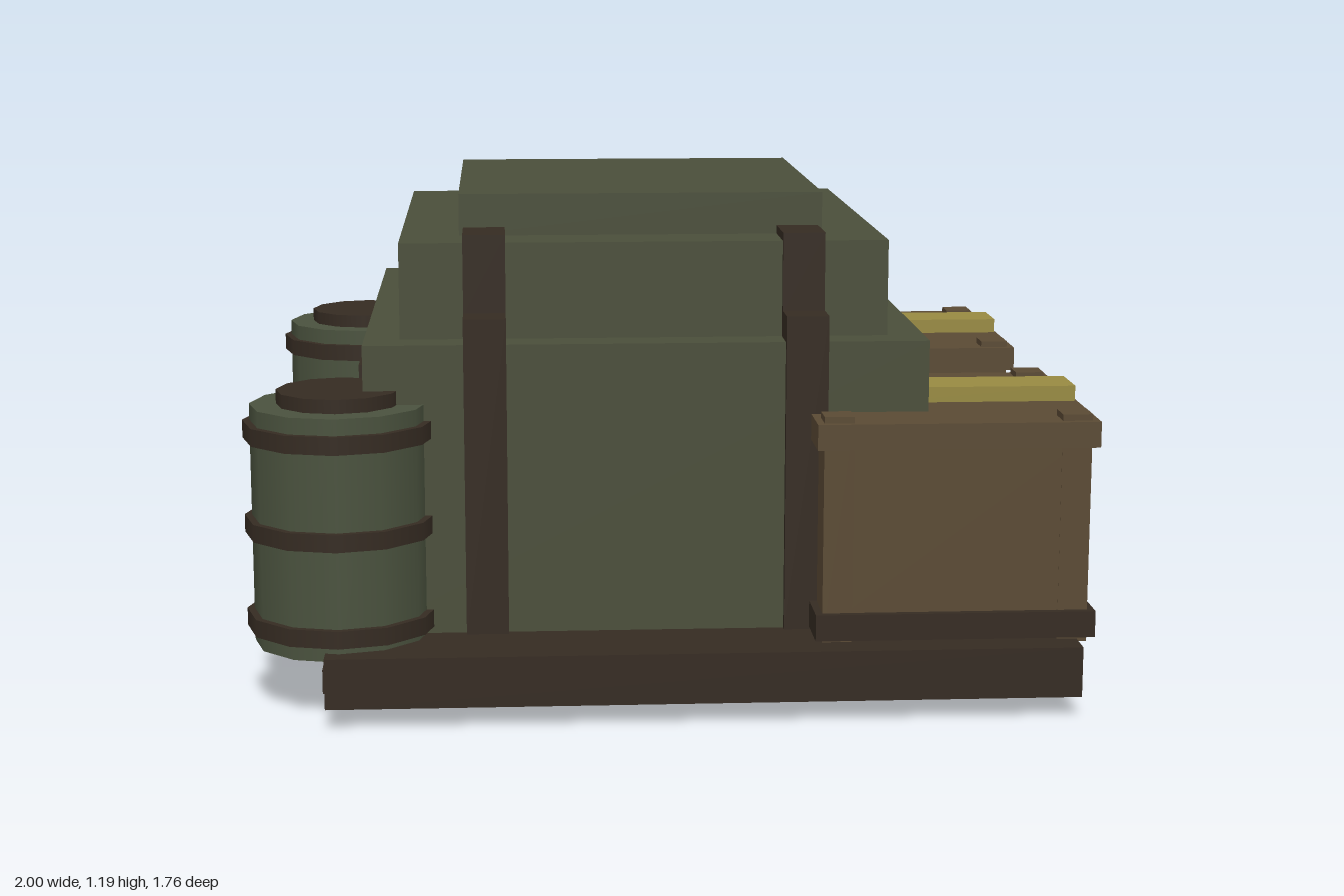
import * as THREE from 'three';

const material = (name, color) => {
  const m = new THREE.MeshStandardMaterial({ color });
  m.name = name;
  return m;
};

export function createModel() {
  const canvas = material('olive canvas', 0x4a4e3a);
  const steel = material('green steel', 0x4a523e);
  const darkWood = material('dark brown', 0x352b22);
  const crateWood = material('crate brown', 0x5a4a34);
  const brass = material('dull yellow', 0x988a42);

  const model = new THREE.Group();
  model.name = 'cargoPallet';

  // Box given by its extents on each axis
  const box = (parent, name, mat, [x0, x1], [y0, y1], [z0, z1]) => {
    const mesh = new THREE.Mesh(new THREE.BoxGeometry(x1 - x0, y1 - y0, z1 - z0), mat);
    mesh.position.set((x0 + x1) / 2, (y0 + y1) / 2, (z0 + z1) / 2);
    mesh.name = name;
    parent.add(mesh);
  };
  const cylinder = (parent, name, mat, r, y0, y1) => {
    const mesh = new THREE.Mesh(new THREE.CylinderGeometry(r, r, y1 - y0, 12), mat);
    mesh.position.y = (y0 + y1) / 2;
    mesh.name = name;
    parent.add(mesh);
  };

  // Pallet deck on two skids
  box(model, 'palletDeck', darkWood, [-0.805, 0.955], [0.05, 0.17], [-0.878, 0.878]);
  for (const z of [-0.503, 0.503])
    box(model, 'palletSkid', darkWood, [-0.83, 0.98], [0, 0.06], [z - 0.088, z + 0.088]);

  // Covered load in three steps
  box(model, 'loadLower', canvas, [-0.715, 0.615], [0.17, 0.862], [-0.667, 0.667]);
  box(model, 'loadMiddle', canvas, [-0.63, 0.527], [0.86, 1.09], [-0.58, 0.58]);
  box(model, 'loadTop', canvas, [-0.49, 0.385], [1.09, 1.19], [-0.44, 0.44]);

  // Straps over the steps
  for (const x of [-0.43, 0.325]) {
    box(model, 'strapLower', darkWood, [x - 0.05, x + 0.05], [0.17, 0.925], [-0.685, 0.685]);
    box(model, 'strapUpper', darkWood, [x - 0.05, x + 0.05], [0.92, 1.11], [-0.592, 0.592]);
  }

  // Side buckles
  for (const z of [-0.315, 0.315])
    for (const x of [-0.72, 0.61])
      box(model, 'buckle', darkWood, [x - 0.02, x + 0.02], [0.65, 0.765], [z - 0.049, z + 0.049]);

  // Crates with corner posts, base band, lid and a yellow lid strip
  for (const z of [-0.546, 0.488]) {
    const crate = new THREE.Group();
    crate.name = 'crate';
    crate.position.set(0.665, 0, z);
    box(crate, 'crateBody', crateWood, [-0.312, 0.312], [0.2, 0.66], [-0.312, 0.312]);
    box(crate, 'crateBase', darkWood, [-0.33, 0.33], [0.177, 0.24], [-0.33, 0.33]);
    box(crate, 'crateLid', crateWood, [-0.33, 0.33], [0.632, 0.693], [-0.33, 0.33]);
    for (const sx of [-1, 1])
      for (const sz of [-1, 1])
        box(crate, 'cornerPost', crateWood, [sx * 0.278 - 0.035, sx * 0.278 + 0.035],
          [0.163, 0.708], [sz * 0.278 - 0.035, sz * 0.278 + 0.035]);
    box(crate, 'lidStrip', brass, [-0.325, 0.325], [0.68, 0.73], [-0.067, 0.067]);
    model.add(crate);
  }

  // Hooped drums at the two corners
  for (const z of [-0.63, 0.625]) {
    const drum = new THREE.Group();
    drum.name = 'drum';
    drum.position.set(-0.773, 0, z);
    cylinder(drum, 'drumBody', steel, 0.21, 0.15, 0.722);
    cylinder(drum, 'drumCap', darkWood, 0.147, 0.71, 0.755);
    for (const y of [0.207, 0.435, 0.662])
      cylinder(drum, 'drumHoop', darkWood, 0.227, y - 0.021, y + 0.021);
    model.add(drum);
  }

  return model;
}
